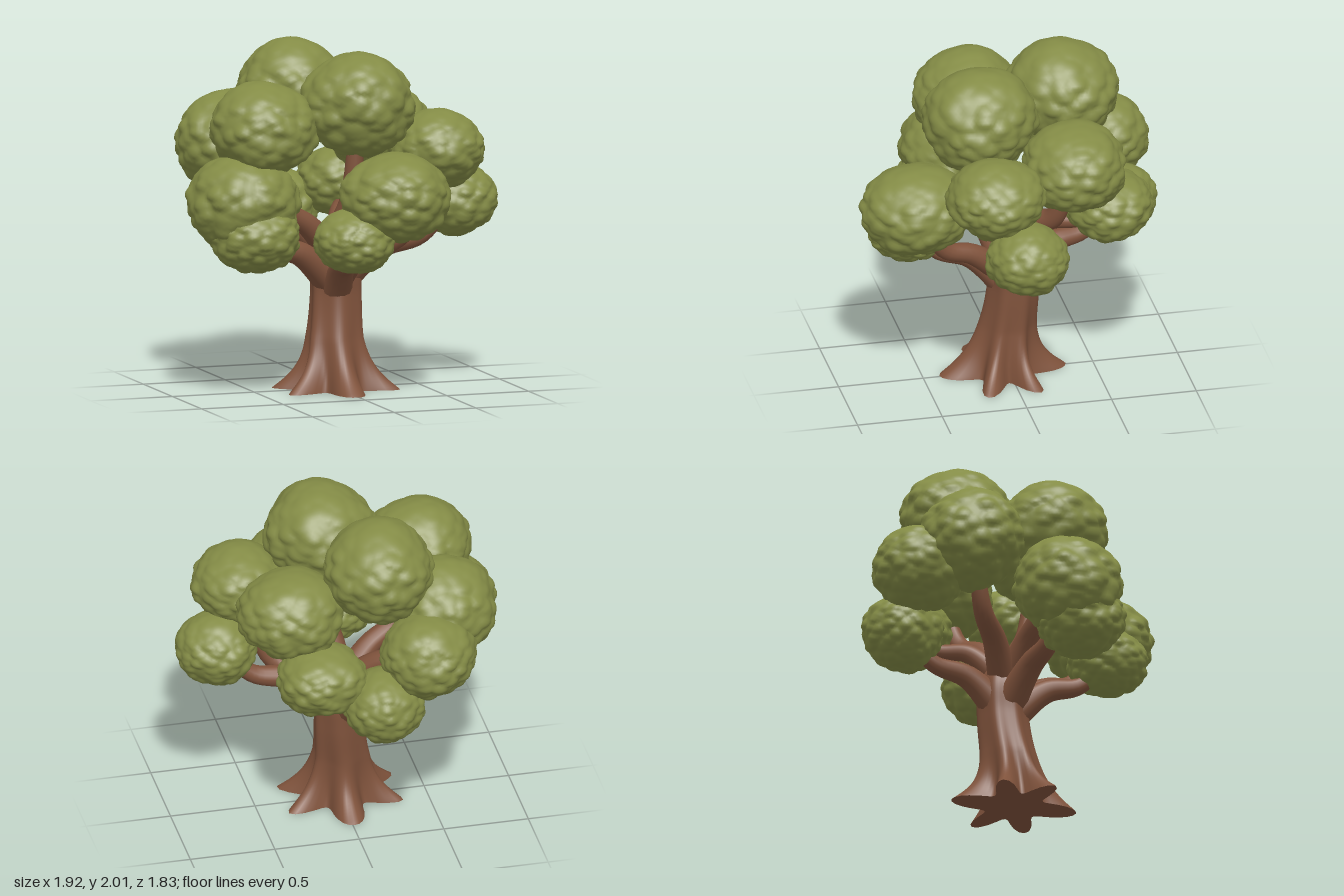
import * as THREE from 'three';
import { mergeVertices } from 'three/addons/utils/BufferGeometryUtils.js';

const bark = new THREE.MeshStandardMaterial({ color: 0x80533c });
bark.name = 'bark brown';
const leaf = new THREE.MeshStandardMaterial({ color: 0x848c46 });
leaf.name = 'leaf green';

// Clumps: centre x y z, radius across, radius in height
const clumps = {
  topFrontClump: [0.07, 1.68, 0.18, 0.335, 0.305],
  topBackClump: [-0.15, 1.7, -0.35, 0.325, 0.305],
  upperRightClump: [-0.49, 1.55, 0.13, 0.32, 0.28],
  lowerRightClump: [-0.63, 1.14, 0.18, 0.325, 0.29],
  hangingRightClump: [-0.59, 0.95, 0.27, 0.26, 0.21],
  lowFrontClump: [-0.09, 0.945, 0.57, 0.235, 0.195],
  frontClump: [0.16, 1.19, 0.58, 0.325, 0.26],
  upperLeftClump: [0.55, 1.4, 0.19, 0.285, 0.23],
  lowerLeftClump: [0.72, 1.075, 0.045, 0.24, 0.215],
  rearLeftClump: [0.36, 1.46, -0.31, 0.31, 0.265],
  lowRearLeftClump: [0.23, 1.13, -0.54, 0.26, 0.21],
  rearRightClump: [-0.53, 1.42, -0.36, 0.31, 0.3],
  backClump: [-0.38, 1.27, -0.63, 0.28, 0.25],
  lowBackClump: [-0.11, 0.98, -0.66, 0.238, 0.22],
};

// Limbs: the clump each one carries, height of its elbow, thickness at the trunk
const limbs = {
  leftBranch: ['lowerLeftClump', 0.82, 0.12],
  upperLeftBranch: ['upperLeftClump', 0.8, 0.09],
  frontBranch: ['lowFrontClump', 0.74, 0.11],
  upperFrontBranch: ['frontClump', 0.8, 0.09],
  backBranch: ['lowBackClump', 0.77, 0.11],
  rightBranch: ['lowerRightClump', 0.8, 0.11],
  upperRightBranch: ['upperRightClump', 0.96, 0.09],
  rearRightBranch: ['rearRightClump', 0.95, 0.1],
  rearLeftBranch: ['rearLeftClump', 1, 0.11],
  rearLeftTwig: ['lowRearLeftClump', 0.98, 0.08],
  centreBranch: ['topFrontClump', 0.98, 0.1],
};

function seeded(seed) {
  let s = seed * 7919 + 17;
  return () => (s = (s * 16807) % 2147483647) / 2147483647;
}

// Leafy clump: ellipsoid with small shingled bumps, strongest low down
function clumpGeometry([x, y, z, radius, height], seed) {
  const rand = seeded(seed);
  const count = 150;
  const tips = [];
  for (let i = 0; i < count; i++) {
    const h = 1 - (2 * (i + rand())) / count;
    const a = i * 2.39996 + rand() * 0.7;
    const r = Math.sqrt(1 - h * h);
    tips.push({ x: r * Math.cos(a), y: h, z: r * Math.sin(a), size: 0.5 + 0.6 * rand() });
  }
  let geo = new THREE.IcosahedronGeometry(1, 18);
  geo.deleteAttribute('normal');
  geo.deleteAttribute('uv');
  geo = mergeVertices(geo);
  const pos = geo.attributes.position;
  const v = new THREE.Vector3();
  for (let i = 0; i < pos.count; i++) {
    v.fromBufferAttribute(pos, i).normalize();
    let bump = 0;
    for (const t of tips) {
      const dy = v.y - t.y;
      const d = Math.hypot(v.x - t.x, dy < 0 ? dy * 2 : dy, v.z - t.z) / 0.23;
      if (d < 1) bump = Math.max(bump, t.size * (1 - d * d));
    }
    const low = 1 - THREE.MathUtils.smoothstep(v.y, 0.1, 0.95) * 0.75;
    const swell = 0.018 * (Math.sin(4 * v.x + seed) + Math.sin(4 * v.z + 3 * v.y + seed * 2));
    const s = 0.965 + swell + 0.085 * low * (bump - 0.25);
    pos.setXYZ(i, x + v.x * s * radius, y + v.y * s * height, z + v.z * s * radius);
  }
  geo.computeVertexNormals();
  return geo;
}

// Trunk: stacked rings with six root ridges that fade upward, closed at both ends
function trunkGeometry() {
  const sides = 72;
  const rings = 44;
  const top = 0.9;
  const p = [];
  const index = [];
  // ring 0 is the centre of the base; rings 1 and 2 coincide for a sharp bottom edge
  for (let i = 0; i <= rings; i++) {
    const y = top * Math.pow(Math.max(0, i - 2) / (rings - 2), 1.3);
    const crown = Math.sqrt(Math.max(0, 1 - Math.pow(y / top, 8)));
    const valley = 0.138 + 0.042 * Math.exp(-y / 0.18) + 0.015 * THREE.MathUtils.smoothstep(y, 0.55, 0.75);
    const ridge = 0.18 * Math.exp(-Math.pow(y / 0.13, 1.15)) + 0.012;
    const cx = -0.01 + 0.02 * Math.sin(THREE.MathUtils.clamp((y - 0.3) * 5, 0, Math.PI));
    const cz = 0.03 * Math.cos(Math.min(y * 5, Math.PI));
    for (let j = 0; j <= sides; j++) {
      const a = ((j % sides) / sides) * Math.PI * 2;
      const w = a - Math.PI / 6 + 0.12 * Math.sin(2 * a) - y * 0.3;
      const lobe = Math.pow((1 + Math.cos(6 * w)) / 2, 1.2);
      const r = i === 0 ? 0 : (valley + ridge * lobe) * crown;
      p.push(cx + r * Math.cos(a), y, cz + r * Math.sin(a));
      if (i < rings && j < sides) {
        const k = i * (sides + 1) + j;
        const u = k + sides + 1;
        index.push(k, u, k + 1, k + 1, u, u + 1);
      }
    }
  }
  const geo = new THREE.BufferGeometry();
  geo.setAttribute('position', new THREE.Float32BufferAttribute(p, 3));
  geo.setIndex(index);
  geo.computeVertexNormals();
  return geo;
}

// Limb: tapered tube that leaves the trunk, bends at its elbow and ends inside its clump
function limbGeometry(clump, elbow, thickness) {
  const [x, y, z] = clumps[clump];
  const path = new THREE.CatmullRomCurve3([
    new THREE.Vector3(0, elbow - 0.2, -0.02),
    new THREE.Vector3(x * 0.38, elbow, z * 0.38),
    new THREE.Vector3(x * 0.7, THREE.MathUtils.lerp(elbow, y, 0.2), z * 0.7),
    new THREE.Vector3(x * 0.95, y - 0.03, z * 0.95),
  ]);
  const seg = 24;
  const sides = 14;
  const geo = new THREE.TubeGeometry(path, seg, 1, sides);
  const pos = geo.attributes.position;
  const v = new THREE.Vector3();
  for (let i = 0; i <= seg; i++) {
    const c = path.getPointAt(i / seg);
    const r = i === seg ? 0 : THREE.MathUtils.lerp(thickness, 0.035, Math.pow(i / seg, 0.7));
    for (let j = 0; j <= sides; j++) {
      const k = i * (sides + 1) + j;
      v.fromBufferAttribute(pos, k).sub(c).multiplyScalar(r).add(c);
      pos.setXYZ(k, v.x, v.y, v.z);
    }
  }
  geo.deleteAttribute('uv');
  geo.deleteAttribute('normal');
  const merged = mergeVertices(geo);
  merged.computeVertexNormals();
  return merged;
}

export function createModel() {
  const tree = new THREE.Group();
  tree.name = 'tree';
  const add = (name, geometry, material) => {
    const mesh = new THREE.Mesh(geometry, material);
    mesh.name = name;
    tree.add(mesh);
  };
  add('trunk', trunkGeometry(), bark);
  for (const [name, limb] of Object.entries(limbs)) add(name, limbGeometry(...limb), bark);
  Object.entries(clumps).forEach(([name, dims], i) => add(name, clumpGeometry(dims, i + 1), leaf));
  return tree;
}
